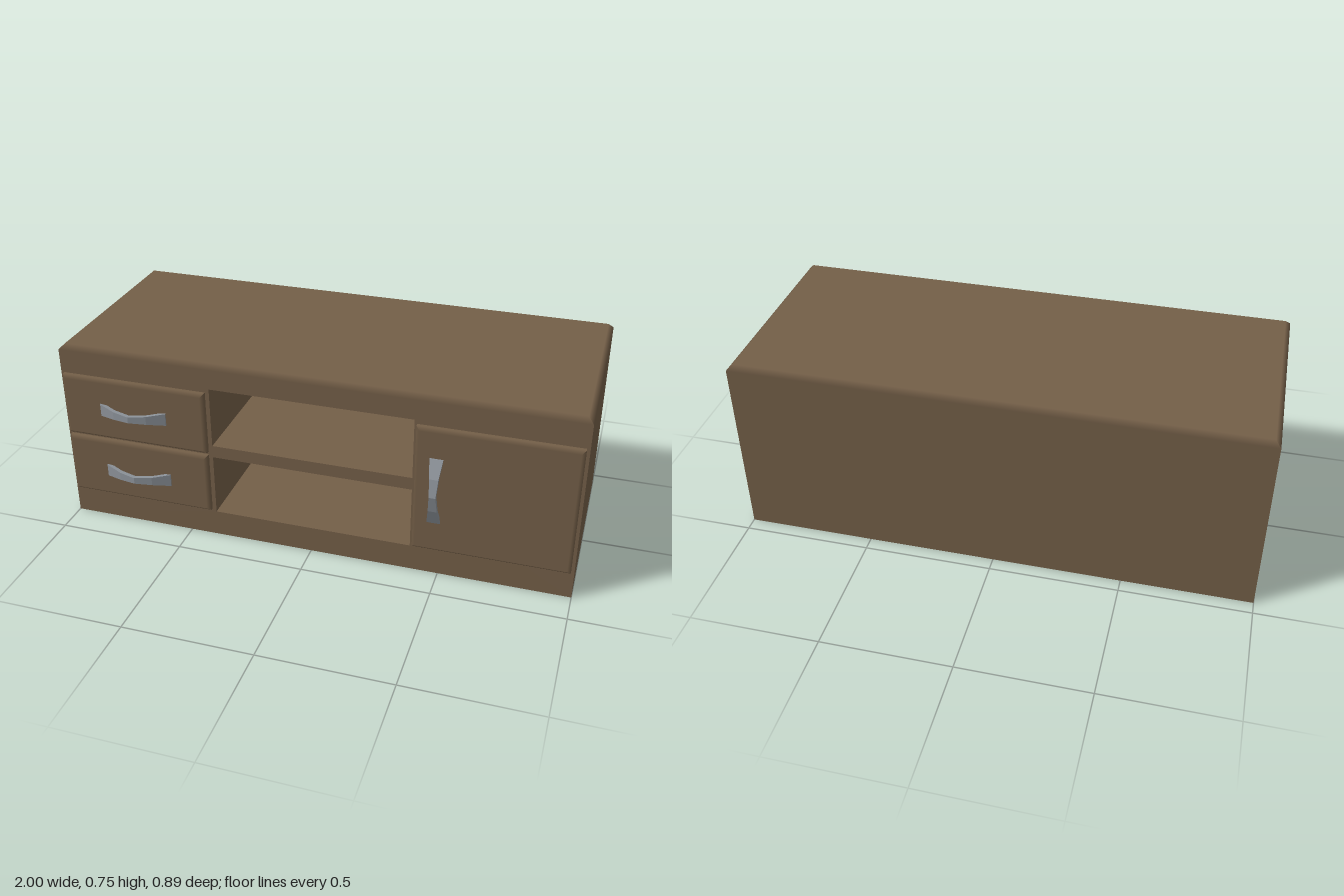
import * as THREE from 'three';

// Rectangular block along z: straight sides, then a soft chamfer up to an inset cap.
// skipSide leaves out one side wall (0 = -y, 1 = +x, 2 = +y, 3 = -x).
function chamferBlock(w, h, d, c, skipSide = -1) {
  const pos = [], nor = [], idx = [];
  const ring = (inset, z) => [[-1, -1], [1, -1], [1, 1], [-1, 1]]
    .map(([sx, sy]) => [sx * (w / 2 - inset), sy * (h / 2 - inset), z]);
  const quad = (corners, normals) => {
    const b = pos.length / 3;
    corners.forEach((p, i) => { pos.push(...p); nor.push(...normals[i]); });
    idx.push(b, b + 1, b + 2, b, b + 2, b + 3);
  };
  const base = ring(0, 0), shoulder = ring(0, d - c), cap = ring(c, d);
  const up = [0, 0, 1], down = [0, 0, -1];
  [[0, -1, 0], [1, 0, 0], [0, 1, 0], [-1, 0, 0]].forEach((n, i) => {
    const j = (i + 1) % 4;
    if (i !== skipSide) quad([base[i], base[j], shoulder[j], shoulder[i]], [n, n, n, n]);
    quad([shoulder[i], shoulder[j], cap[j], cap[i]], [n, n, up, up]);
  });
  quad(cap, [up, up, up, up]);
  quad([...base].reverse(), [down, down, down, down]);
  const g = new THREE.BufferGeometry();
  g.setAttribute('position', new THREE.Float32BufferAttribute(pos, 3));
  g.setAttribute('normal', new THREE.Float32BufferAttribute(nor, 3));
  g.setIndex(idx);
  return g;
}

// Inward-facing box without its front wall
function nicheGeometry(w, h, d) {
  const box = new THREE.BoxGeometry(w, h, d);
  const kept = Array.from(box.index.array).filter((_, i) => i < 24 || i >= 30).reverse();
  const n = box.attributes.normal;
  for (let i = 0; i < n.count; i++) n.setXYZ(i, -n.getX(i), -n.getY(i), -n.getZ(i));
  box.clearGroups();
  box.setIndex(kept);
  return box;
}

// Bowed strip, narrow in the middle and wide at its ends
function handleGeometry() {
  const half = 0.135, thick = 0.016;
  const g = new THREE.BoxGeometry(2 * half, 1, thick, 4, 1, 1);
  const p = g.attributes.position;
  for (let i = 0; i < p.count; i++) {
    const u = Math.abs(p.getX(i)) / half;
    p.setY(i, p.getY(i) * (0.025 + 0.008 * u + 0.017 * u * u));
    p.setZ(i, p.getZ(i) - thick / 2 + 0.049 - 0.044 * Math.pow(u, 1.5));
  }
  const flat = g.toNonIndexed();
  flat.computeVertexNormals();
  return flat;
}

export function createModel() {
  const model = new THREE.Group();
  model.name = 'mediaCabinet';
  const wood = new THREE.MeshStandardMaterial({ color: 0x745f48 });
  wood.name = 'brownWood';
  const metal = new THREE.MeshStandardMaterial({ color: 0x8c9299 });
  metal.name = 'greyMetal';
  const add = (name, geometry, material, x, y, z) => {
    const m = new THREE.Mesh(geometry, material);
    m.name = name;
    m.position.set(x, y, z);
    model.add(m);
    return m;
  };

  const W = 2, H = 0.745, C = 0.02, FRONT = 0.373, BACK = -0.447;

  // Carcass with chamfered top edges and an open front
  const shell = chamferBlock(W, FRONT - BACK, H, C, 0).rotateX(-Math.PI / 2);
  add('cabinetBody', shell, wood, 0, 0, (FRONT + BACK) / 2);

  // Front face with two shelf openings, and the niches behind them
  const rect = (T, x0, x1, y0, y1) => new T([
    new THREE.Vector2(x0, y0), new THREE.Vector2(x1, y0),
    new THREE.Vector2(x1, y1), new THREE.Vector2(x0, y1)]);
  const face = rect(THREE.Shape, -W / 2, W / 2, 0, H - C);
  const depth = 0.79;
  for (const [name, y0, y1] of [['lowerShelf', 0.105, 0.354], ['upperShelf', 0.404, 0.646]]) {
    face.holes.push(rect(THREE.Path, -0.39, 0.39, y0, y1));
    add(name, nicheGeometry(0.78, y1 - y0, depth), wood, 0, (y0 + y1) / 2, FRONT - depth / 2);
  }
  add('frontFrame', new THREE.ShapeGeometry(face), wood, 0, 0, FRONT);

  // Drawers, door and their handles
  const panel = (name, x0, x1, y0, y1) =>
    add(name, chamferBlock(x1 - x0, y1 - y0, 0.025, 0.013), wood, (x0 + x1) / 2, (y0 + y1) / 2, FRONT);
  const handle = handleGeometry(), panelZ = FRONT + 0.025;
  panel('upperDrawer', -0.988, -0.406, 0.377, 0.631);
  panel('lowerDrawer', -0.988, -0.406, 0.117, 0.365);
  panel('door', 0.4, 0.988, 0.115, 0.631);
  add('upperDrawerHandle', handle, metal, -0.697, 0.505, panelZ);
  add('lowerDrawerHandle', handle, metal, -0.697, 0.235, panelZ);
  add('doorHandle', handle, metal, 0.48, 0.38, panelZ).rotation.z = Math.PI / 2;

  return model;
}
